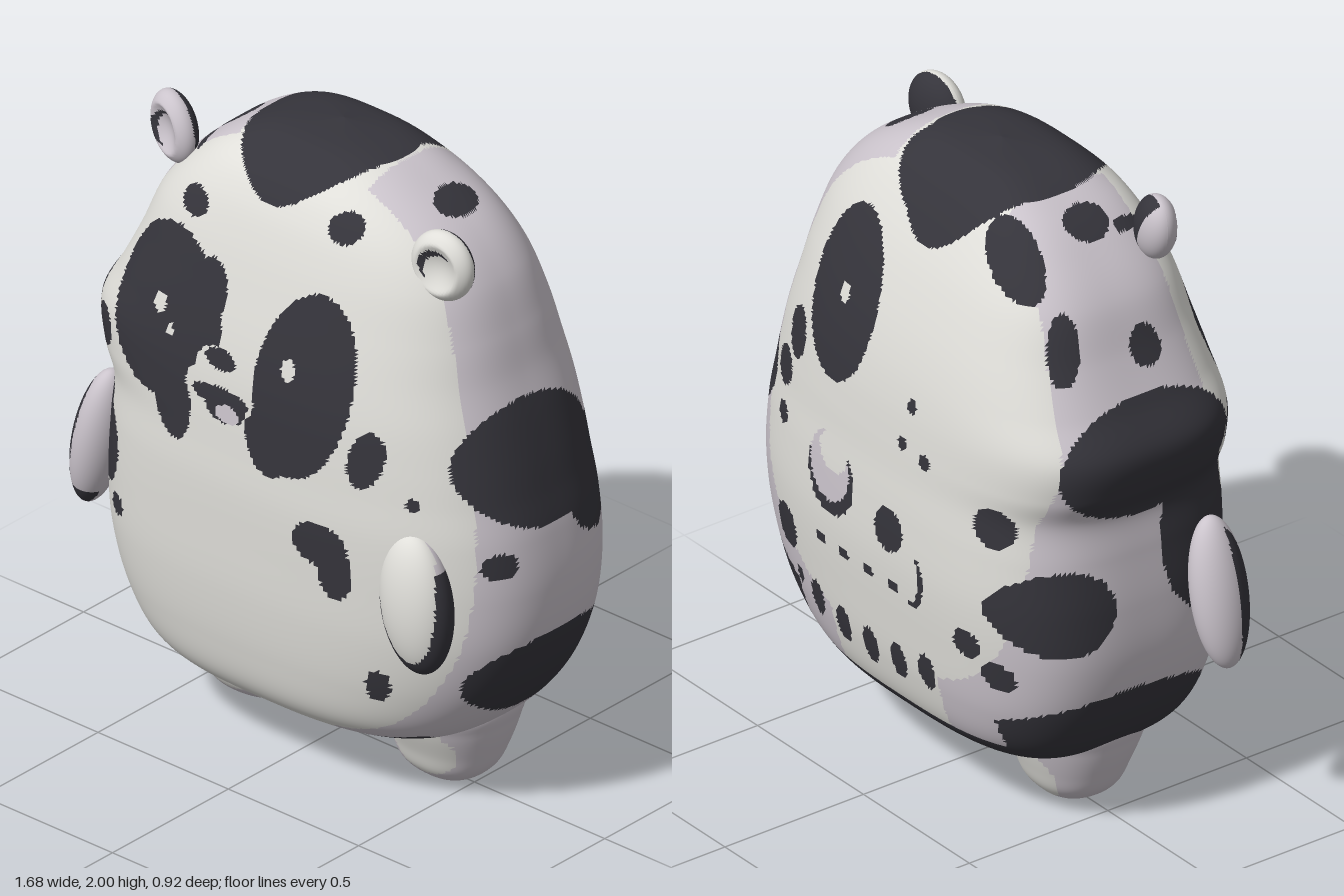
import * as THREE from 'three';

const WHITE = 0, LILAC = 1, DARK = 2;

// Closed loft: rows are [y, left, right, front, back] half extents, rounded-box sections
function loft(rows, around, up, powRight = 2.6, powLeft = 3.2) {
  const xs = new THREE.CatmullRomCurve3(rows.map(r => new THREE.Vector3(r[1], r[0], r[2])), false, 'catmullrom', 0.5);
  const zs = new THREE.CatmullRomCurve3(rows.map(r => new THREE.Vector3(r[3], r[0], r[4])), false, 'catmullrom', 0.5);
  const pos = [], index = [];
  for (let j = 0; j <= up; j++) {
    const a = xs.getPoint(j / up), b = zs.getPoint(j / up);
    for (let i = 0; i < around; i++) {
      const t = (i / around) * Math.PI * 2, phi = t + 0.15 * Math.sin(2 * t);
      const c = Math.cos(phi), s = Math.sin(phi), n = c > 0 ? powRight : powLeft;
      const r = Math.pow(Math.abs(c) ** n + Math.abs(s) ** n, -1 / n);
      pos.push(r * c * Math.max(0, c > 0 ? a.z : a.x), a.y, r * s * Math.max(0, s > 0 ? b.x : b.z));
      if (j < up) {
        const k = (i + 1) % around, p = j * around + i, q = j * around + k;
        if (j > 0) index.push(p, p + around, q);
        if (j < up - 1) index.push(q, p + around, q + around);
      }
    }
  }
  const g = new THREE.BufferGeometry();
  g.setAttribute('position', new THREE.Float32BufferAttribute(pos, 3));
  g.setIndex(index);
  g.computeVertexNormals();
  return g;
}

// Sort the faces into colour groups by a rule on the face centre
function painted(name, geo, mats, rule) {
  const p = geo.attributes.position, idx = geo.index.array, buckets = mats.map(() => []);
  for (let f = 0; f < idx.length; f += 3) {
    const [a, b, c] = [idx[f], idx[f + 1], idx[f + 2]];
    const mid = m => (p[m](a) + p[m](b) + p[m](c)) / 3;
    buckets[rule(mid('getX'), mid('getY'), mid('getZ'))].push(a, b, c);
  }
  geo.setIndex(buckets.flat());
  geo.clearGroups();
  let start = 0;
  buckets.forEach((b, m) => { geo.addGroup(start, b.length, m); start += b.length; });
  const mesh = new THREE.Mesh(geo, mats);
  mesh.name = name;
  return mesh;
}

function inside(u, v, [cu, cv, ru, rv, turn = 0]) {
  const du = u - cu, dv = v - cv, c = Math.cos(turn), s = Math.sin(turn);
  return ((du * c + dv * s) / ru) ** 2 + ((dv * c - du * s) / rv) ** 2 < 1;
}

// Spots: [u, v, radius u, radius v, turn, colour]; later ones cover earlier ones
const eyesAndFace = [
  [-0.34, 1.41, 0.21, 0.26, -0.15], [-0.27, 1.18, 0.075, 0.14, 0.2], [-0.17, 1.53, 0.07, 0.1], [-0.14, 1.42, 0.04, 0.08],
  [0.21, 1.36, 0.17, 0.29, -0.15], [0.12, 1.2, 0.1, 0.15, -0.1],
  [-0.085, 1.25, 0.13, 0.085, 0, WHITE], [-0.08, 1.32, 0.1, 0.07, 0, WHITE],
  [-0.09, 1.35, 0.058, 0.032], [-0.08, 1.235, 0.108, 0.032], [-0.06, 1.205, 0.075, 0.045],
  [-0.05, 1.19, 0.045, 0.028, 0, LILAC],
  [-0.35, 1.43, 0.027, 0.032, 0, WHITE], [-0.295, 1.37, 0.013, 0.02, 0, WHITE], [0.157, 1.4, 0.025, 0.034, 0, WHITE],
];
const frontSpots = [
  [0.25, 1.84, 0.055, 0.042], [-0.29, 1.75, 0.055, 0.042], [-0.4, 1.85, 0.025, 0.02], [-0.61, 1.24, 0.052, 0.065],
  [0.44, 1.2, 0.055, 0.092, -0.25], [0.585, 1.09, 0.02, 0.02], [0.3, 0.89, 0.095, 0.07], [0.35, 0.82, 0.06, 0.095],
  [0.465, 0.46, 0.037, 0.058, -0.3], [-0.53, 0.69, 0.035, 0.035], [-0.62, 0.87, 0.1, 0.14],
];
const backSpots = [
  [0.245, 1.5, 0.165, 0.26], [0.24, 1.51, 0.022, 0.03, 0, WHITE],
  [0.22, 0.94, 0.115, 0.125], [0.228, 0.965, 0.1, 0.11, 0, LILAC], [0.21, 1.02, 0.07, 0.065, 0, WHITE],
  [0.46, 1.28, 0.055, 0.08], [0.53, 1.14, 0.055, 0.06], [0.51, 1.0, 0.03, 0.035], [0.49, 0.64, 0.065, 0.07], [0.43, 0.5, 0.02, 0.03],
  [-0.064, 0.89, 0.065, 0.07], [-0.17, 0.77, 0.05, 0.09], [-0.15, 0.78, 0.05, 0.09, 0, WHITE],
  [-0.14, 1.32, 0.02, 0.022], [-0.11, 1.19, 0.02, 0.022], [-0.21, 1.17, 0.025, 0.025],
  [-0.39, 0.65, 0.05, 0.045], [-0.49, 0.57, 0.055, 0.045], [-0.3, 0.43, 0.035, 0.03, 0, LILAC], [-0.48, 1.06, 0.065, 0.065],
];
for (let i = 0; i < 5; i++) {
  backSpots.push([0.33 - 0.133 * i, 0.44 + 0.008 * (i - 2) ** 2, 0.036, 0.06]);
  if (i < 4) backSpots.push([0.27 - 0.117 * i, 0.71, 0.024, 0.02]);
}
// Side spots use (z, y), crown spots use (x, z)
const rightSpots = [
  [0.02, 1.17, 0.27, 0.19, 0.12], [-0.2, 1.04, 0.15, 0.16], [0.21, 0.9, 0.05, 0.04],
  [-0.04, 0.48, 0.31, 0.155, 0.1], [-0.25, 0.4, 0.16, 0.14],
];
const leftSpots = [
  [0, 1.26, 0.3, 0.19], [0.2, 0.95, 0.15, 0.25], [-0.27, 0.8, 0.15, 0.14], [-0.05, 0.36, 0.34, 0.14],
];
const crownSpots = [
  [-0.02, 0, 0.26, 0.3], [0, -0.14, 0.24, 0.14], [-0.34, -0.21, 0.12, 0.06], [-0.37, 0.02, 0.05, 0.075],
  [-0.55, -0.2, 0.045, 0.05], [-0.6, 0.06, 0.025, 0.055], [0.42, -0.01, 0.05, 0.08],
];

function bodyColour(x, y, z) {
  let colour = WHITE;
  if (Math.abs(x) > 0.25 && z < 0.35 - 0.09 * y && z > -0.5 + 0.16 * y) colour = LILAC;
  const under = z > 0 ? 0.18 + 0.28 * x * x : 0.3;
  if (y < under && x < 0.52) colour = DARK;
  const apply = (spots, u, v) => {
    for (const s of spots) if (inside(u, v, s)) colour = s[5] ?? DARK;
  };
  if (x > 0.45) apply(rightSpots, z, y);
  if (x < -0.45) apply(leftSpots, z, y);
  if (y > 1.5) apply(crownSpots, x, z);
  if (z > 0.1) { apply(frontSpots, x, y); apply(eyesAndFace, x, y); }
  if (z < -0.1) apply(backSpots, x, y);
  return colour;
}

export function createModel() {
  const model = new THREE.Group();
  model.name = 'spottedBear';
  const mats = [['warmWhite', 0xe0dfda], ['lilacGrey', 0xcbc4cc], ['charcoal', 0x35343b]].map(([name, color]) => {
    const m = new THREE.MeshStandardMaterial({ color });
    m.name = name;
    return m;
  });

  // Body and head in one soft, slightly lopsided volume
  const body = loft([
    [0.14, 0, 0, 0, 0], [0.15, 0.3, 0.32, 0.17, 0.17], [0.2, 0.46, 0.5, 0.3, 0.27], [0.28, 0.57, 0.63, 0.38, 0.37],
    [0.42, 0.65, 0.745, 0.42, 0.42], [0.6, 0.695, 0.82, 0.445, 0.445], [0.78, 0.7, 0.84, 0.455, 0.46],
    [0.95, 0.685, 0.825, 0.46, 0.458], [1.08, 0.675, 0.795, 0.455, 0.45], [1.18, 0.72, 0.77, 0.45, 0.445],
    [1.3, 0.738, 0.735, 0.44, 0.435], [1.42, 0.67, 0.695, 0.42, 0.415], [1.55, 0.605, 0.66, 0.39, 0.38],
    [1.7, 0.54, 0.605, 0.35, 0.325], [1.82, 0.44, 0.51, 0.305, 0.265], [1.91, 0.33, 0.37, 0.245, 0.205],
    [1.975, 0.19, 0.21, 0.15, 0.13], [2, 0, 0, 0, 0],
  ], 290, 200);
  model.add(painted('body', body, mats, bodyColour));

  // Stubby legs with pale pads in front and behind
  const legRows = [
    [0, 0, 0, 0, 0], [0.015, 0.11, 0.08, 0.07, 0.08], [0.06, 0.16, 0.14, 0.12, 0.13], [0.13, 0.18, 0.175, 0.15, 0.16],
    [0.22, 0.19, 0.205, 0.19, 0.19], [0.3, 0.2, 0.215, 0.21, 0.21], [0.42, 0.13, 0.15, 0.14, 0.14], [0.46, 0, 0, 0, 0],
  ];
  for (const side of [1, -1]) {
    const rows = side > 0 ? legRows : legRows.map(([y, l, r, f, b]) => [y, r, l, f, b]);
    const pad = [0.01 * side, 0.15, 0.12, 0.1, 0.3 * side], backPad = [0, 0.11, 0.09, 0.09];
    const leg = painted(side > 0 ? 'leftLeg' : 'rightLeg', loft(rows, 64, 48, 2.2, 2.2), mats,
      (x, y, z) => inside(x, y, z > 0 ? pad : backPad) ? WHITE : LILAC);
    leg.position.x = side > 0 ? 0.41 : -0.34;
    model.add(leg);
  }

  // Arms
  const ellipsoid = (rx, ry, rz) => new THREE.SphereGeometry(1, 56, 40).scale(rx, ry, rz);
  const leftArm = painted('leftArm', ellipsoid(0.122, 0.225, 0.085), mats,
    (x, y, z) => z > 0 && inside(x, y, [0.008, 0.035, 0.1, 0.205]) ? WHITE : y > 0.12 && z > -0.03 ? LILAC : DARK);
  leftArm.position.set(0.595, 0.775, 0.355);
  leftArm.rotation.z = 0.1;
  const rightArm = painted('rightArm', ellipsoid(0.075, 0.235, 0.09), mats,
    (x, y, z) => z > 0.02 && (x < -0.035 || y < -0.17) ? DARK : LILAC);
  rightArm.position.set(-0.75, 0.765, 0.21);
  rightArm.rotation.z = -0.2;
  model.add(leftArm, rightArm);

  // Cupped ears, dark behind, with a small crease line inside
  const ear = (name, rx, pale, x, y, z, turnY, turnZ) => {
    const geo = ellipsoid(rx, 0.112, 0.058), p = geo.attributes.position;
    for (let i = 0; i < p.count; i++) {
      const d = Math.hypot(p.getX(i) / rx, p.getY(i) / 0.112) / 0.7;
      if (p.getZ(i) > 0 && d < 1) p.setZ(i, p.getZ(i) - 0.04 * (1 - d * d));
    }
    geo.computeVertexNormals();
    const crease = [-0.005, 0, 0.06, 0.055], centre = [0.012, -0.012, 0.058, 0.055];
    const mesh = painted(name, geo, mats, (u, v, w) => {
      if (w < -0.01) return name === 'rightEar' && u < -0.01 ? LILAC : DARK;
      return w > 0 && inside(u, v, crease) && !inside(u, v, centre) ? DARK : pale;
    });
    mesh.position.set(x, y, z);
    mesh.rotation.set(0, turnY, turnZ);
    model.add(mesh);
  };
  ear('leftEar', 0.105, WHITE, 0.54, 1.79, 0.18, 0.1, -0.25);
  ear('rightEar', 0.085, LILAC, -0.49, 1.865, 0.18, -0.25, 0.45);

  return model;
}
